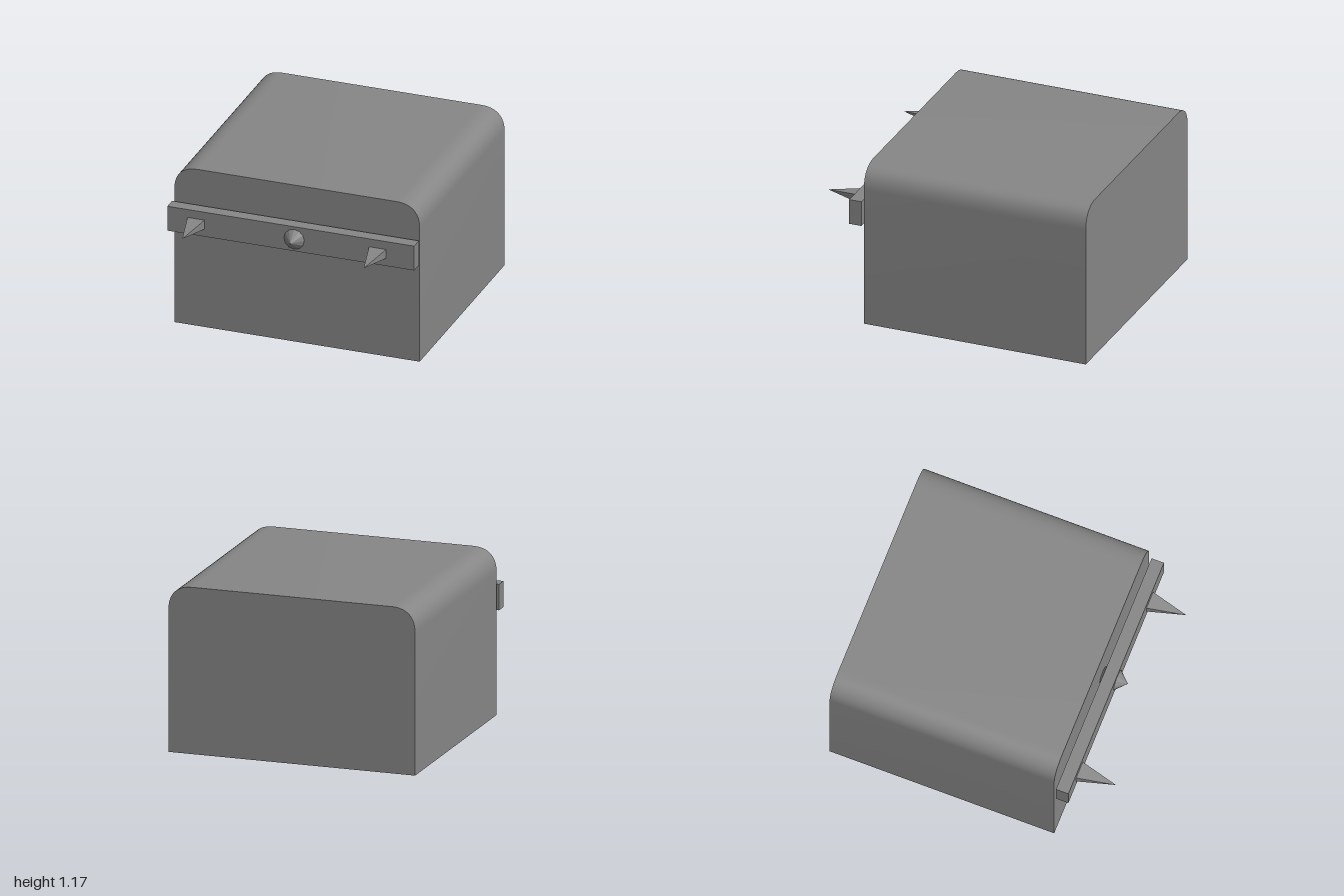
import * as THREE from 'three';
import { toCreasedNormals } from 'three/addons/utils/BufferGeometryUtils.js';

export function createModel() {
  const group = new THREE.Group();
  const smooth = new THREE.MeshStandardMaterial({ color: 0x868686 });
  const flat = new THREE.MeshStandardMaterial({ color: 0x868686, flatShading: true });

  const add = (name, geometry, material, x, y, z) => {
    const mesh = new THREE.Mesh(geometry, material);
    mesh.name = name;
    mesh.position.set(x, y, z);
    group.add(mesh);
  };

  // Body: block with full, rounded upper edges, extruded front to back
  const w = 0.886, h = 1.17, r = 0.17, back = -1, front = 0.628;
  const c = r * 0.35; // distance of the curve handles from the square corner
  const outline = new THREE.Shape();
  outline.moveTo(-w, 0);
  outline.lineTo(w, 0);
  outline.lineTo(w, h - r);
  outline.bezierCurveTo(w, h - c, w - c, h, w - r, h);
  outline.lineTo(r - w, h);
  outline.bezierCurveTo(c - w, h, -w, h - c, -w, h - r);
  outline.closePath();
  const bodyGeometry = new THREE.ExtrudeGeometry(outline, {
    depth: front - back, bevelEnabled: false, curveSegments: 12,
  });
  add('body', toCreasedNormals(bodyGeometry, 0.6), smooth, 0.005, 0, back);

  // Bar held just in front of the body
  add('frontBar', new THREE.BoxGeometry(1.783, 0.182, 0.09), smooth, 0, 0.821, 0.69);

  // Faceted knob running through the bar, pointed at both ends
  const knobProfile = [[0, -0.12], [0.074, -0.045], [0.074, 0.045], [0, 0.12]]
    .map(([x, y]) => new THREE.Vector2(x, y));
  const knobGeometry = new THREE.LatheGeometry(knobProfile, 12);
  knobGeometry.rotateX(Math.PI / 2);
  add('knob', knobGeometry, flat, 0.024, 0.818, 0.69);

  // Four-sided spikes pointing forward
  const spikeGeometry = new THREE.ConeGeometry(Math.SQRT1_2, 1, 4);
  spikeGeometry.rotateY(Math.PI / 4);
  spikeGeometry.rotateX(Math.PI / 2);
  spikeGeometry.scale(0.124, 0.066, 0.265);
  for (const [name, x] of [['rightSpike', -0.684], ['leftSpike', 0.627]]) {
    add(name, spikeGeometry, flat, x, 0.82, 0.8675);
  }
  return group;
}
